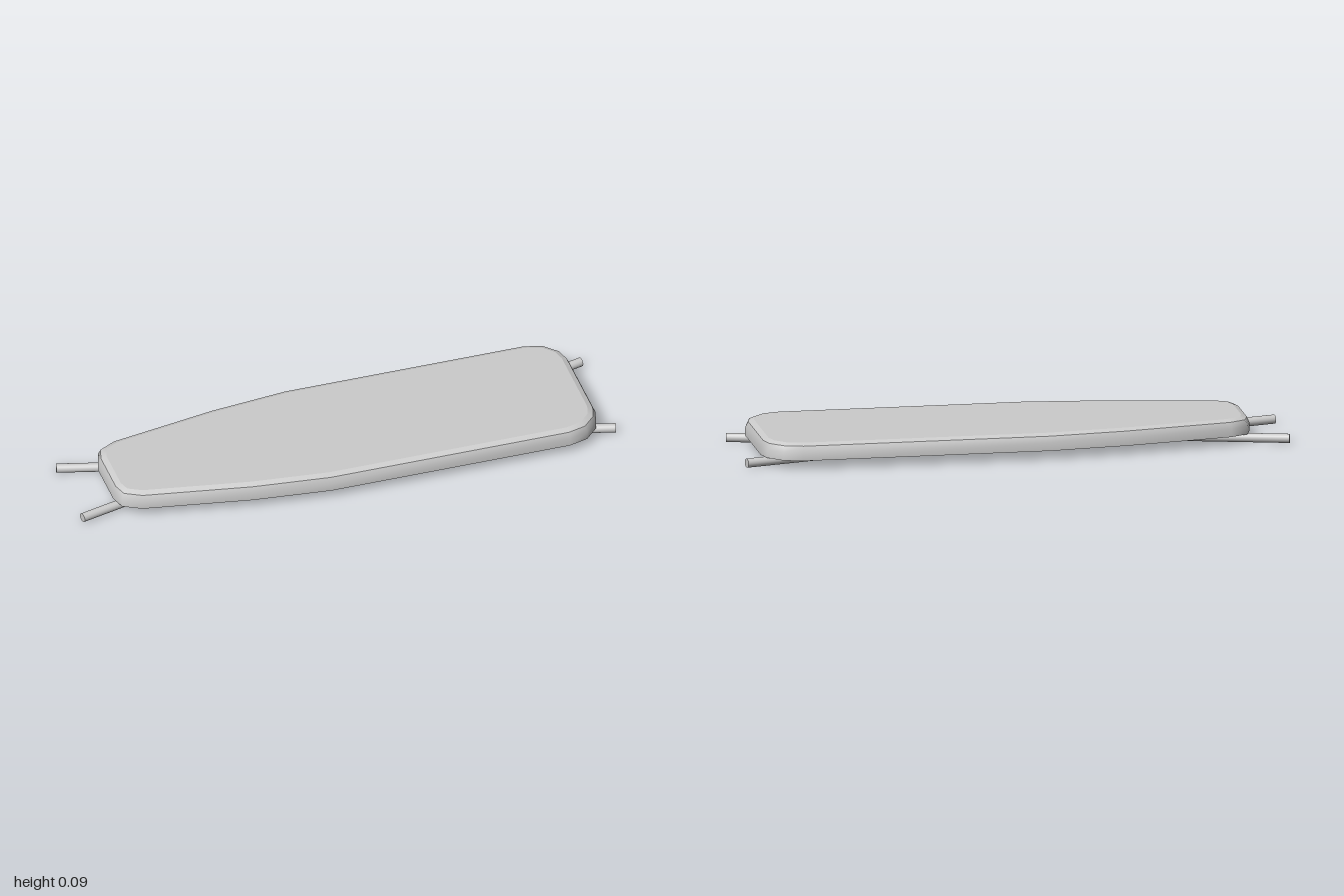
import * as THREE from 'three';

// Half outline of the board [x, z], narrow end to wide end
const HALF = [[-0.862, 0.09], [-0.845, 0.145], [-0.78, 0.18], [-0.385, 0.25], [-0.1, 0.281],
  [0.8, 0.281], [0.87, 0.262], [0.92, 0.21], [0.935, 0.155]];
const OUTLINE = [...HALF.map(([x, z]) => [x, -z]), ...HALF.slice().reverse()];

// Outline moved inwards by d, with mitred corners
function inset(d) {
  const n = OUTLINE.length;
  const normal = (i) => {
    const a = OUTLINE[i % n], b = OUTLINE[(i + 1) % n];
    const l = Math.hypot(b[0] - a[0], b[1] - a[1]);
    return [-(b[1] - a[1]) / l, (b[0] - a[0]) / l];
  };
  return OUTLINE.map(([x, z], i) => {
    const p = normal(i + n - 1), q = normal(i);
    const k = d / (1 + p[0] * q[0] + p[1] * q[1]);
    return [x + (p[0] + q[0]) * k, z + (p[1] + q[1]) * k];
  });
}

// Closed rings [y, inset] joined into a smooth band
function band(rings) {
  const n = OUTLINE.length, pos = [], index = [];
  for (const [y, d] of rings) for (const [x, z] of inset(d)) pos.push(x, y, z);
  for (let r = 0; r < rings.length - 1; r++) {
    for (let i = 0; i < n; i++) {
      const a = r * n + i, b = r * n + (i + 1) % n;
      index.push(a, a + n, b, b, a + n, b + n);
    }
  }
  const g = new THREE.BufferGeometry();
  g.setAttribute('position', new THREE.Float32BufferAttribute(pos, 3));
  g.setIndex(index);
  g.computeVertexNormals();
  return g;
}

export function createModel() {
  const group = new THREE.Group();
  const shell = new THREE.MeshStandardMaterial({ color: 0xcccccc, side: THREE.DoubleSide });
  const solid = new THREE.MeshStandardMaterial({ color: 0xcccccc });
  const add = (name, geometry, material) => {
    const mesh = new THREE.Mesh(geometry, material);
    mesh.name = name;
    group.add(mesh);
    return mesh;
  };

  // Hollow board cover, open underneath
  add('boardSkirt', band([[0.033, 0], [0.063, 0], [0.085, 0.01]]), shell);
  add('boardEdge', band([[0.085, 0.01], [0.0935, 0.03]]), shell);
  const top = new THREE.ShapeGeometry(new THREE.Shape(inset(0.03).map(([x, z]) => new THREE.Vector2(x, -z))));
  top.rotateX(-Math.PI / 2).translate(0, 0.0935, 0);
  add('boardTop', top, shell);

  // Splayed leg rods: [name, outer x, outer z, inner x, inner z]
  const R = 0.0165;
  const legs = [
    ['wideEndFrontLeg', 0.995, 0.208, 0.525, 0.083],
    ['wideEndBackLeg', 0.995, -0.208, 0.525, -0.083],
    ['narrowEndFrontLeg', -0.995, 0.145, -0.525, 0.024],
    ['narrowEndBackLeg', -0.995, -0.168, -0.525, -0.04],
  ];
  for (const [name, x0, z0, x1, z1] of legs) {
    const a = new THREE.Vector3(x0, R, z0), b = new THREE.Vector3(x1, R, z1);
    const leg = add(name, new THREE.CylinderGeometry(R, R, a.distanceTo(b), 20), solid);
    leg.position.copy(a).lerp(b, 0.5);
    leg.quaternion.setFromUnitVectors(new THREE.Vector3(0, 1, 0), b.sub(a).normalize());
  }
  return group;
}
